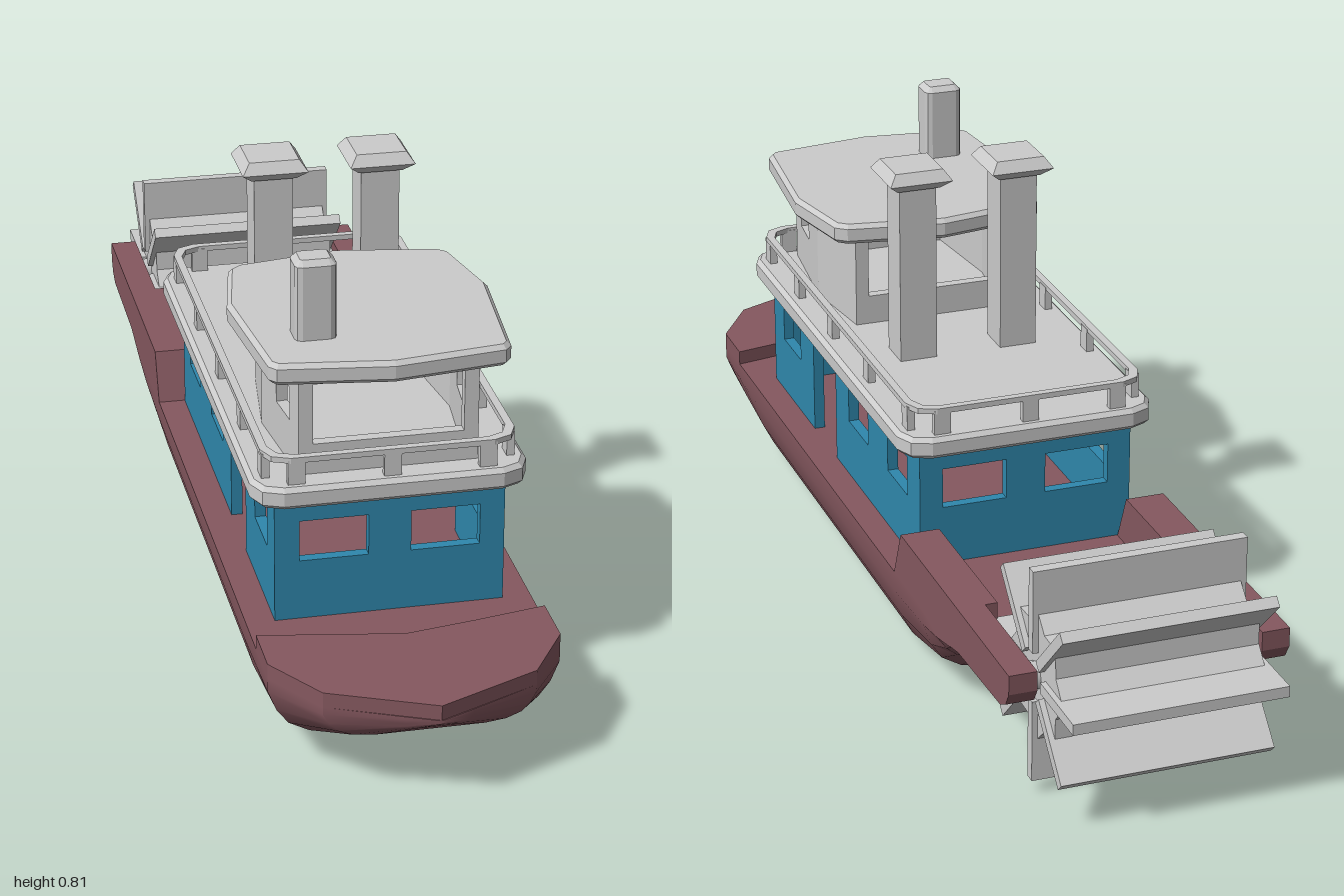
import * as THREE from 'three';
import { toCreasedNormals } from 'three/addons/utils/BufferGeometryUtils.js';

const grey = new THREE.MeshStandardMaterial({ color: 0xcccccc });
const maroon = new THREE.MeshStandardMaterial({ color: 0x85585f });
const blue = new THREE.MeshStandardMaterial({ color: 0x2f88ad });

function add(parent, name, geo, mat, x = 0, y = 0, z = 0) {
  const m = new THREE.Mesh(geo, mat);
  m.name = name;
  m.position.set(x, y, z);
  parent.add(m);
  return m;
}

const box = (w, h, d) => new THREE.BoxGeometry(w, h, d);
const toShape = pts => new THREE.Shape(pts.map(p => new THREE.Vector2(...p)));

// Horizontal plate from an x,z outline, with optional chamfer and hole
function slab(pts, y0, y1, bevel = 0, hole = null) {
  const s = toShape(pts);
  if (hole) s.holes.push(new THREE.Path(hole.map(p => new THREE.Vector2(...p))));
  const g = new THREE.ExtrudeGeometry(s, {
    depth: y1 - y0 - 2 * bevel, bevelEnabled: bevel > 0, bevelSize: bevel,
    bevelThickness: bevel, bevelOffset: -bevel, bevelSegments: 1,
  });
  return g.rotateX(Math.PI / 2).translate(0, y1 - bevel, 0);
}

// Rectangle outline with cut corners
function cutRect(w, z0, z1, c) {
  return [[-w + c, z0], [w - c, z0], [w - c * 0.3, z0 + c * 0.3], [w, z0 + c], [w, z1 - c], [w - c * 0.3, z1 - c * 0.3],
    [w - c, z1], [-w + c, z1], [-w + c * 0.3, z1 - c * 0.3], [-w, z1 - c], [-w, z0 + c], [-w + c * 0.3, z0 + c * 0.3]];
}

// Upright wall from plan point a to b, outside face on its right, with window holes [u0, u1, y0, y1]
function wall(parent, name, mat, a, b, y0, y1, holes, t = 0.02) {
  const dx = b[0] - a[0], dz = b[1] - a[1], len = Math.hypot(dx, dz);
  const s = toShape([[0, y0], [len, y0], [len, y1], [0, y1]]);
  for (const [u0, u1, v0, v1] of holes) {
    s.holes.push(new THREE.Path([[u0, v0], [u0, v1], [u1, v1], [u1, v0]].map(p => new THREE.Vector2(...p))));
  }
  const g = new THREE.ExtrudeGeometry(s, { depth: t, bevelEnabled: false }).translate(0, 0, -t);
  add(parent, name, g, mat, a[0], 0, a[1]).rotation.y = Math.atan2(-dz, dx);
}

// Lofted hull: each station is [z, half width, keel height]
function hullGeometry() {
  const deck = 0.17;
  const stations = [[1, 0.004, 0.163], [0.975, 0.06, 0.145], [0.92, 0.18, 0.108], [0.81, 0.25, 0.055], [0.72, 0.25, 0.03],
    [0.6, 0.25, 0], [-0.27, 0.25, 0], [-0.43, 0.25, 0.04], [-0.51, 0.25, 0.1], [-0.57, 0.25, 0.163]];
  const half = [[0.52, 0], [0.72, 0.07], [0.86, 0.23], [0.94, 0.46], [1, 0.78], [1, 1]];
  const ring = [...half.map(([x, y]) => [-x, y]).reverse(), ...half];
  const n = ring.length, pos = [], idx = [];
  for (const [z, w, b] of stations) for (const [x, y] of ring) pos.push(x * w, b + y * (deck - b), z);
  for (let i = 0; i < stations.length - 1; i++) {
    for (let j = 0; j < n; j++) {
      const k = (j + 1) % n, a = i * n + j, b = i * n + k, c = a + n, d = b + n;
      idx.push(a, c, b, b, c, d);
    }
  }
  const last = (stations.length - 1) * n;
  for (let j = 1; j < n - 1; j++) {
    idx.push(0, j, j + 1);
    idx.push(last, last + j + 1, last + j);
  }
  const g = new THREE.BufferGeometry();
  g.setAttribute('position', new THREE.Float32BufferAttribute(pos, 3));
  g.setIndex(idx);
  return toCreasedNormals(g, 0.5);
}

function buildHull(root) {
  const hull = new THREE.Group();
  hull.name = 'hull';
  root.add(hull);
  const mat = maroon.clone();
  mat.side = THREE.DoubleSide;
  add(hull, 'hullBody', hullGeometry(), mat);
  add(hull, 'foredeck', slab([[-0.25, 0.71], [-0.12, 0.735], [0, 0.755], [0.12, 0.735], [0.25, 0.71], [0.25, 0.81], [0.18, 0.92], [0, 1], [-0.18, 0.92], [-0.25, 0.81]], 0.168, 0.197), maroon);

  // Aft bulwarks, thick beside the deck and thinner beside the wheel
  const side = (pts, t) => new THREE.ExtrudeGeometry(toShape(pts), { depth: t, bevelEnabled: false })
    .rotateY(-Math.PI / 2).translate(t / 2, 0, 0);
  const fore = side([[-0.27, 0.165], [-0.31, 0.26], [-0.61, 0.26], [-0.61, 0.178], [-0.55, 0.165]], 0.072);
  const aft = side([[-0.6, 0.26], [-0.86, 0.26], [-0.86, 0.225], [-0.845, 0.2], [-0.82, 0.187], [-0.6, 0.178]], 0.05);
  for (const s of [-1, 1]) {
    add(hull, 'bulwark', fore, maroon, s * 0.214);
    add(hull, 'wheelArm', aft, maroon, s * 0.225);
  }
}

function buildCabin(root) {
  const cabin = new THREE.Group();
  cabin.name = 'cabin';
  root.add(cabin);
  const y0 = 0.165, y1 = 0.4, v = [0.28, 0.355];
  const ends = [[0.043, 0.163, ...v], [0.237, 0.357, ...v]];
  wall(cabin, 'frontWall', blue, [-0.2, 0.62], [0.2, 0.62], y0, y1, ends);
  wall(cabin, 'backWall', blue, [0.2, -0.27], [-0.2, -0.27], y0, y1, ends);
  wall(cabin, 'leftFrontWall', blue, [0.2, 0.62], [0.2, 0.36], y0, y1, [[0.065, 0.175, ...v]]);
  wall(cabin, 'rightFrontWall', blue, [-0.2, 0.36], [-0.2, 0.62], y0, y1, [[0.085, 0.195, ...v]]);
  wall(cabin, 'leftBackWall', blue, [0.2, 0.22], [0.2, -0.27], y0, y1, [[0.08, 0.195, ...v], [0.31, 0.42, ...v]]);
  wall(cabin, 'rightBackWall', blue, [-0.2, -0.27], [-0.2, 0.22], y0, y1, [[0.07, 0.18, ...v], [0.295, 0.41, ...v]]);
  add(cabin, 'cabinRoof', slab(cutRect(0.239, -0.31, 0.655, 0.05), 0.395, 0.435, 0.008), grey);

  // Railing around the roof
  add(cabin, 'handrail', slab(cutRect(0.22, -0.295, 0.64, 0.045), 0.475, 0.485, 0, cutRect(0.206, -0.281, 0.626, 0.04)), grey);
  const post = box(0.014, 0.05, 0.03), endPost = box(0.03, 0.05, 0.014);
  for (const s of [-1, 1]) {
    for (const z of [0.59, 0.4, 0.19, -0.025, -0.245]) add(cabin, 'railPost', post, grey, s * 0.212, 0.455, z);
    for (const z of [0.632, -0.287]) add(cabin, 'railPost', endPost, grey, s * 0.165, 0.455, z);
  }
  for (const z of [0.632, -0.287]) add(cabin, 'railPost', endPost, grey, 0, 0.455, z);
}

function buildWheelhouse(root) {
  const house = new THREE.Group();
  house.name = 'wheelhouse';
  root.add(house);
  const y0 = 0.43, y1 = 0.615;
  wall(house, 'frontWall', grey, [-0.155, 0.605], [0.155, 0.605], y0, y1, [[0.025, 0.285, 0.49, 0.6]]);
  wall(house, 'backWall', grey, [0.155, 0.225], [-0.155, 0.225], y0, y1, [[0.025, 0.285, 0.49, 0.6]]);
  wall(house, 'leftFrontWall', grey, [0.155, 0.605], [0.177, 0.395], y0, y1, [[0.05, 0.125, 0.515, 0.575]]);
  wall(house, 'leftBackWall', grey, [0.177, 0.395], [0.155, 0.225], y0, y1, []);
  wall(house, 'rightBackWall', grey, [-0.155, 0.225], [-0.177, 0.395], y0, y1, []);
  wall(house, 'rightFrontWall', grey, [-0.177, 0.395], [-0.155, 0.605], y0, y1, [[0.086, 0.161, 0.515, 0.575]]);
  add(house, 'wheelhouseRoof', slab([[0, 0.162], [0.18, 0.193], [0.2, 0.21], [0.23, 0.36], [0.207, 0.61], [0.195, 0.625], [0, 0.652],
    [-0.195, 0.625], [-0.207, 0.61], [-0.23, 0.36], [-0.2, 0.21], [-0.18, 0.193]], 0.611, 0.65, 0.008), grey);
  add(house, 'stovePipe', slab(cutRect(0.036, -0.03, 0.03, 0.012), 0.64, 0.793, 0.01), grey, -0.11, 0, 0.51);
}

function buildFunnels(root) {
  // Square flared cap made from four-sided frustums
  const cone = (top, bottom, h) => new THREE.CylinderGeometry(top * Math.SQRT2, bottom * Math.SQRT2, h, 4, 1).toNonIndexed().rotateY(Math.PI / 4);
  const lower = cone(0.059, 0.04, 0.017), upper = cone(0.045, 0.059, 0.02);
  for (const g of [lower, upper]) g.computeVertexNormals();
  for (const s of [-1, 1]) {
    const funnel = new THREE.Group();
    funnel.name = 'funnel';
    funnel.position.set(s * 0.097, 0, 0.068);
    root.add(funnel);
    add(funnel, 'funnelPipe', box(0.07, 0.345, 0.07), grey, 0, 0.6, 0);
    add(funnel, 'funnelCapBase', lower, grey, 0, 0.7765, 0);
    add(funnel, 'funnelCapTop', upper, grey, 0, 0.795, 0);
  }
}

function buildPaddleWheel(root) {
  const wheel = new THREE.Group();
  wheel.name = 'paddleWheel';
  wheel.position.set(0, 0.22, -0.8);
  root.add(wheel);
  // Eight-pointed drum, blades and axle
  const star = [];
  for (let i = 0; i < 16; i++) {
    const a = i * Math.PI / 8, r = i % 2 ? 0.098 : 0.125;
    star.push([r * Math.cos(a), r * Math.sin(a)]);
  }
  const drum = new THREE.ExtrudeGeometry(toShape(star), { depth: 0.36, bevelEnabled: false });
  add(wheel, 'drum', drum.translate(0, 0, -0.18).rotateY(Math.PI / 2), grey);
  for (let i = 0; i < 8; i++) {
    add(wheel, 'paddleBlade', box(0.38, 0.15, 0.02).translate(0, 0.12, 0), grey).rotation.x = i * Math.PI / 4;
  }
  add(wheel, 'axle', new THREE.CylinderGeometry(0.025, 0.025, 0.42, 8).rotateZ(Math.PI / 2), grey);
}

export function createModel() {
  const root = new THREE.Group();
  root.name = 'paddleSteamer';
  buildHull(root);
  buildCabin(root);
  buildWheelhouse(root);
  buildFunnels(root);
  buildPaddleWheel(root);
  return root;
}
